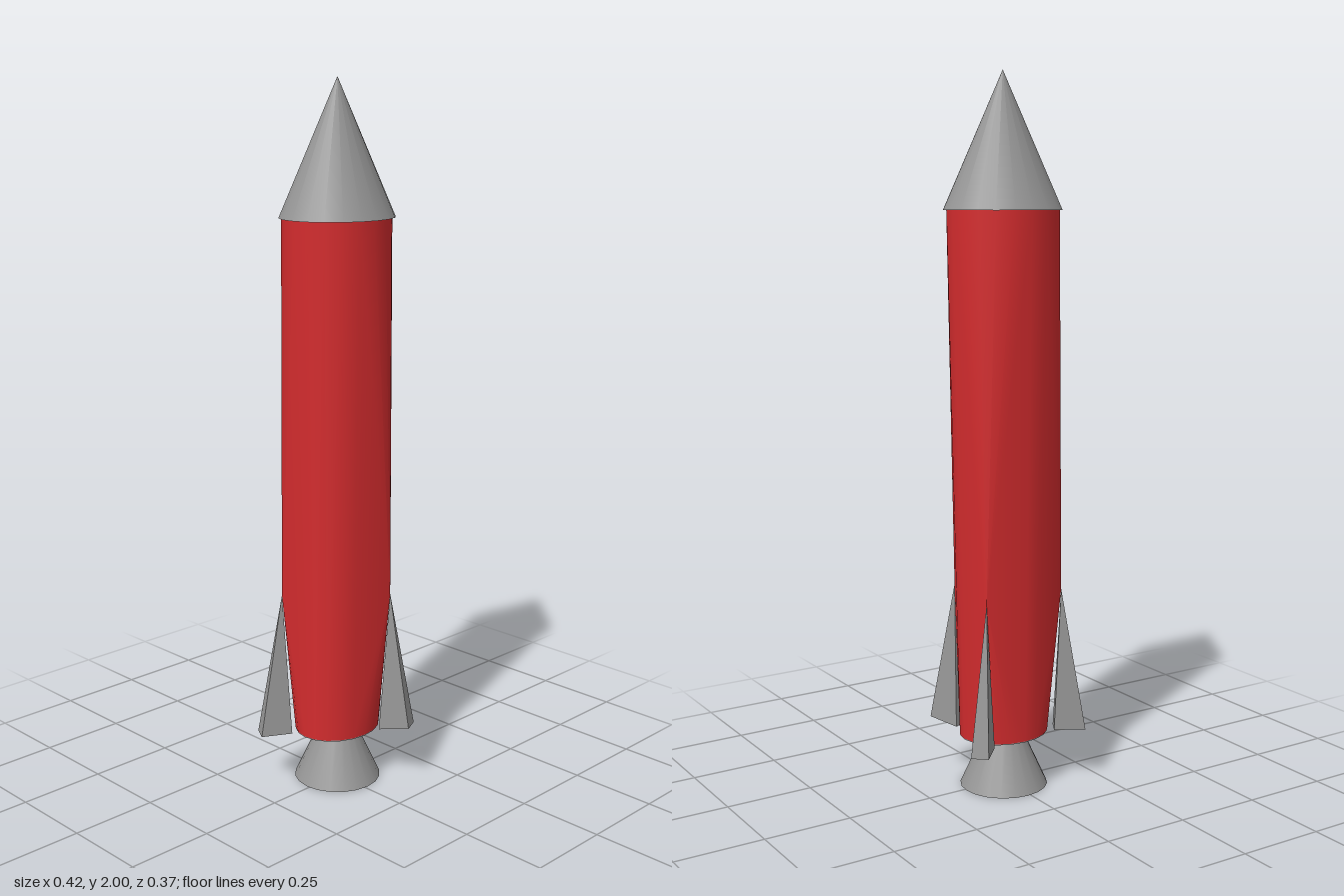
import * as THREE from 'three';
import { toCreasedNormals } from 'three/addons/utils/BufferGeometryUtils.js';
import { ConvexGeometry } from 'three/addons/geometries/ConvexGeometry.js';

const SIDES = 20;
const TAIL = 0.157;
const SHOULDER = 1.63;

// Horizontal elliptical ring of points
function ring(cx, y, cz, rx, rz) {
  return Array.from({ length: SIDES }, (_, i) => {
    const a = (i / SIDES) * Math.PI * 2;
    return new THREE.Vector3(cx + rx * Math.cos(a), y, cz + rz * Math.sin(a));
  });
}

// Each fin: foot corners on the outer edge, ridge point on the hull, outer foot height
const FINS = [
  { name: 'frontFin', a: [0.106, 0.185], b: [0.152, 0.163], tip: [0.095, 0.118], y: 0.172 },
  { name: 'rightFin', a: [-0.187, -0.137], b: [-0.21, -0.096], tip: [-0.132, -0.09], y: TAIL },
  { name: 'leftFin', a: [0.208, -0.154], b: [0.172, -0.187], tip: [0.138, -0.123], y: TAIL },
];
const TIP_Y = 0.57;

// Wedge fin: a point at the top spreading to a rectangular foot
function finGeometry({ a, b, tip, y }) {
  const along = new THREE.Vector2(b[0] - a[0], b[1] - a[1]).normalize();
  let inward = new THREE.Vector2(-along.y, along.x);
  const mid = new THREE.Vector2((a[0] + b[0]) / 2, (a[1] + b[1]) / 2);
  if (inward.dot(mid) > 0) inward = inward.negate();
  inward.multiplyScalar(0.09);
  const points = [new THREE.Vector3(tip[0], TIP_Y, tip[1])];
  for (const p of [a, b]) {
    points.push(new THREE.Vector3(p[0], y, p[1]));
    points.push(new THREE.Vector3(p[0] + inward.x, TAIL, p[1] + inward.y));
  }
  return new ConvexGeometry(points);
}

export function createModel() {
  const model = new THREE.Group();
  model.name = 'rocket';
  const red = new THREE.MeshStandardMaterial({ color: 0xd42c2e });
  red.name = 'red';
  const grey = new THREE.MeshStandardMaterial({ color: 0x969696 });
  grey.name = 'grey';

  const add = (name, geometry, material, x = 0, y = 0, z = 0) => {
    const mesh = new THREE.Mesh(geometry, material);
    mesh.name = name;
    mesh.position.set(x, y, z);
    model.add(mesh);
    return mesh;
  };

  // Tapered hull, drawn out into a ridge above every fin
  const hull = new ConvexGeometry([
    ...ring(0.017, SHOULDER, -0.018, 0.16, 0.141),
    ...ring(0.012, TAIL, -0.012, 0.131, 0.112),
    ...FINS.map(({ tip }) => new THREE.Vector3(tip[0], TIP_Y, tip[1])),
  ]);
  add('hull', toCreasedNormals(hull, 0.45), red);

  // Grey plate closing the tail
  const plate = new THREE.CylinderGeometry(1, 1, 0.004, SIDES);
  add('tailPlate', plate, grey, 0.012, TAIL - 0.001, -0.012).scale.set(0.13, 1, 0.111);

  // Pointed nose overhanging the hull
  const nose = new THREE.ConeGeometry(1, 2 - SHOULDER, SIDES);
  nose.rotateY(Math.PI / 2);
  nose.scale(0.168, 1, 0.15);
  add('noseCone', nose, grey, 0.018, (2 + SHOULDER) / 2, -0.018);

  // Flared engine nozzle
  const nozzle = new THREE.CylinderGeometry(0.045, 0.125, 0.175, SIDES);
  add('nozzle', nozzle, grey, 0.01, 0.0875, -0.01);

  for (const fin of FINS) add(fin.name, finGeometry(fin), grey);

  return model;
}
